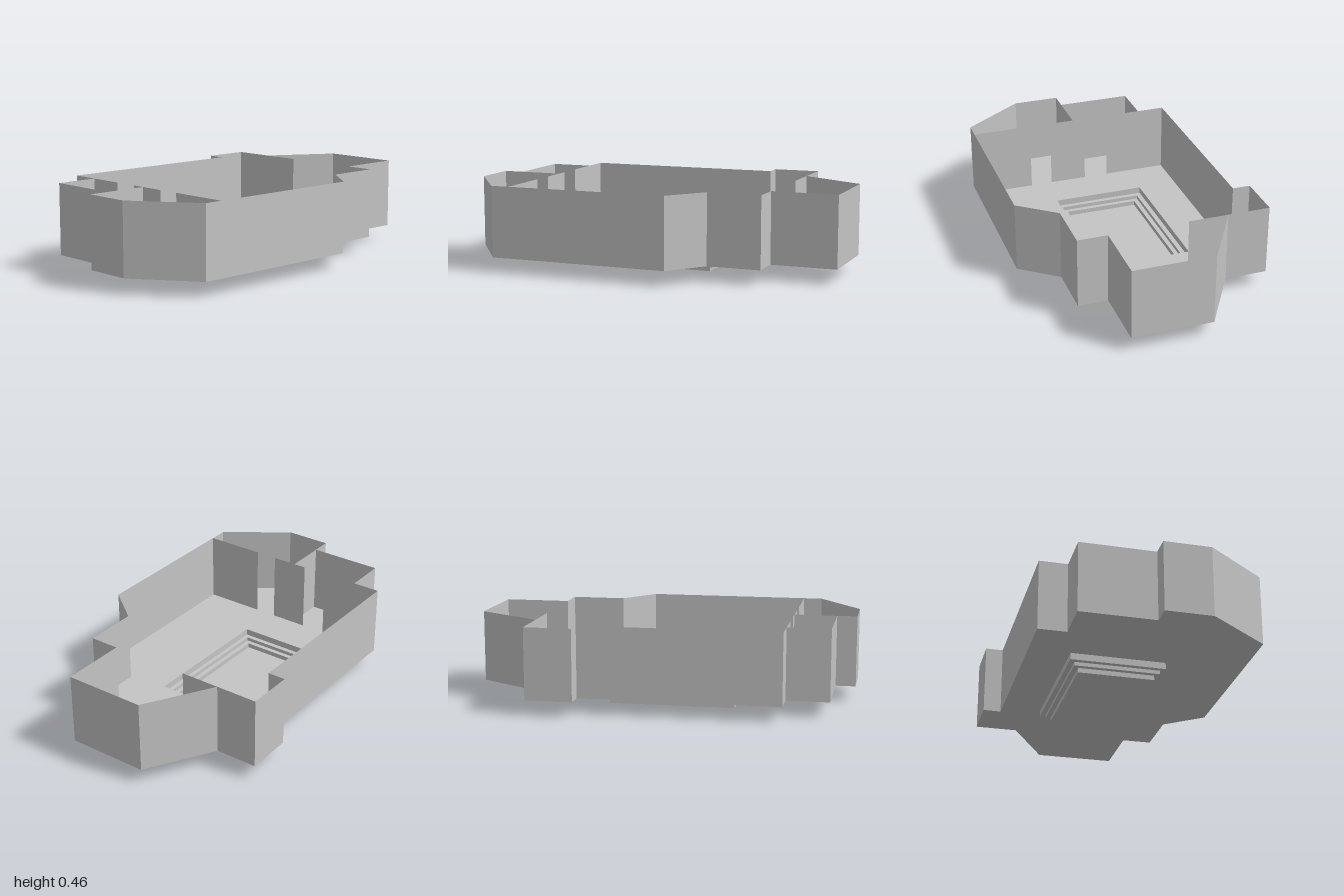
import * as THREE from 'three';

const FLOOR_Y = 0.08, TOP_Y = 0.46;

export function createModel() {
  const model = new THREE.Group();
  const plaster = new THREE.MeshStandardMaterial({ color: 0xc4c4c4, side: THREE.DoubleSide });
  plaster.name = 'plaster grey';

  const add = (name, geometry) => {
    const mesh = new THREE.Mesh(geometry, plaster);
    mesh.name = name;
    model.add(mesh);
  };

  // Thin upright sheet following [x, z] points between two heights
  const sheet = (points, y0, y1, closed) => {
    const pos = [];
    const n = closed ? points.length : points.length - 1;
    for (let i = 0; i < n; i++) {
      const [ax, az] = points[i];
      const [bx, bz] = points[(i + 1) % points.length];
      pos.push(ax, y0, az, bx, y0, bz, bx, y1, bz, ax, y0, az, bx, y1, bz, ax, y1, az);
    }
    const g = new THREE.BufferGeometry();
    g.setAttribute('position', new THREE.Float32BufferAttribute(pos, 3));
    g.computeVertexNormals();
    return g;
  };

  // Level slab surface with an optional opening
  const level = (outline, y, opening) => {
    const flip = (pts) => pts.map(([x, z]) => new THREE.Vector2(x, -z));
    const shape = new THREE.Shape(flip(outline));
    if (opening) shape.holes.push(new THREE.Path(flip(opening)));
    return new THREE.ShapeGeometry(shape).rotateX(-Math.PI / 2).translate(0, y, 0);
  };

  // Room plan, running anticlockwise as seen from above
  const plan = [
    [-0.765, 0.61], [0.207, 0.61], [0.36, 0.413], [0.648, 0.413], [0.648, 0.253],
    [1, 0.253], [1, -0.18], [0.648, -0.388], [0.648, -0.615], [0.397, -0.615],
    [0.397, -0.52], [-0.665, -0.52], [-0.665, -0.37], [-0.893, -0.37],
    [-0.893, 0.03], [-1, 0.03], [-1, 0.28],
  ];

  // Sunken rectangles, each one step lower
  const pits = [
    { y: 0.045, rim: [[-0.437, 0.198], [0.333, 0.203], [0.333, -0.308], [-0.437, -0.303]] },
    { y: 0.025, rim: [[-0.411, 0.175], [0.307, 0.179], [0.307, -0.282], [-0.411, -0.277]] },
    { y: 0, rim: [[-0.386, 0.15], [0.283, 0.155], [0.283, -0.257], [-0.386, -0.252]] },
  ];

  add('outerWalls', sheet(plan, FLOOR_Y, TOP_Y, true));
  add('floor', level(plan, FLOOR_Y, pits[0].rim));

  // Stepped pit: riser and tread for each step
  let above = FLOOR_Y;
  pits.forEach(({ y, rim }, i) => {
    add(`pitRiser${i + 1}`, sheet(rim, y, above, true));
    add(i < 2 ? `pitTread${i + 1}` : 'pitBottom', level(rim, y, pits[i + 1]?.rim));
    above = y;
  });

  // Inner partitions with doorway gaps
  const partitions = {
    backPartition: [[-0.665, -0.37], [-0.665, -0.175]],
    middlePartition: [[-0.665, -0.04], [-0.665, 0.165]],
    frontPartition: [[-0.665, 0.285], [-0.665, 0.61]],
    crossPartition: [[-0.893, 0.03], [-0.665, 0.03]],
    sidePartition: [[0.648, -0.388], [0.648, -0.175]],
  };
  for (const [name, line] of Object.entries(partitions)) add(name, sheet(line, FLOOR_Y, TOP_Y, false));

  return model;
}
